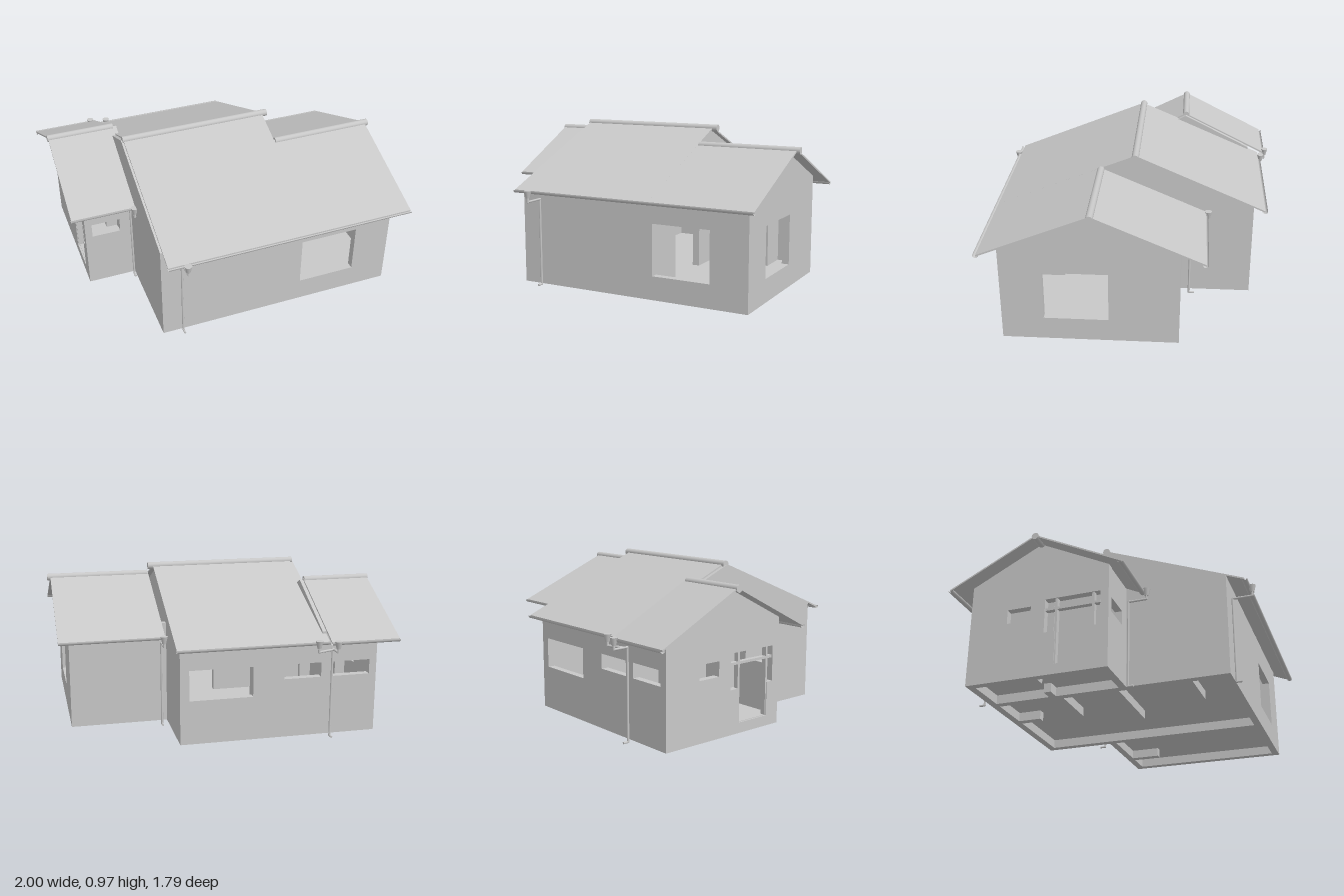
import * as THREE from 'three';

const plaster = new THREE.MeshStandardMaterial({ color: 0xc8c8c8, side: THREE.DoubleSide });
plaster.name = 'lightGrey';

const BASE = 0.012, T = 0.045;

function add(group, name, geometry) {
  const mesh = new THREE.Mesh(geometry, plaster);
  mesh.name = name;
  group.add(mesh);
  return mesh;
}

const toShape = pts => new THREE.Shape(pts.map(p => new THREE.Vector2(...p)));

// Rectangle as a hole outline: [a0, y0, a1, y1]
const rect = ([a0, y0, a1, y1]) => [[a0, y0], [a1, y0], [a1, y1], [a0, y1]];

function extrude(pts, holes, depth) {
  const shape = toShape(pts);
  for (const h of holes) shape.holes.push(new THREE.Path(h.map(p => new THREE.Vector2(...p))));
  return new THREE.ExtrudeGeometry(shape, { depth, bevelEnabled: false });
}

// Wall running along x, thickness from z to z + T
function wallAlongX(group, name, x0, x1, z, top, holes = []) {
  add(group, name, extrude(rect([x0, BASE, x1, top]), holes.map(rect), T)).position.z = z;
}

// Profile drawn in (z, y), thickness from x - depth to x
function profileX(group, name, x, pts, holes, depth) {
  const g = extrude(pts, holes, depth);
  g.rotateY(-Math.PI / 2);
  add(group, name, g).position.x = x;
}

// One sloping roof sheet between two (z, y) lines
function roofSheet(group, name, x0, x1, [z0, y0], [z1, y1]) {
  const t = 0.01;
  profileX(group, name, x1, [[z0, y0], [z1, y1], [z1, y1 + t], [z0, y0 + t]], [], x1 - x0);
}

function ridgeCap(group, name, x0, x1, z, y) {
  const g = new THREE.CylinderGeometry(0.022, 0.022, x1 - x0, 12);
  g.rotateZ(Math.PI / 2);
  add(group, name, g).position.set((x0 + x1) / 2, y, z);
}

// Open half-round gutter
function gutter(group, name, x0, x1, z, y) {
  const g = new THREE.CylinderGeometry(0.017, 0.017, x1 - x0, 12, 1, true, Math.PI, Math.PI);
  g.rotateZ(Math.PI / 2);
  add(group, name, g).position.set((x0 + x1) / 2, y, z);
}

function rod(group, name, a, b, r = 0.007) {
  const from = new THREE.Vector3(...a), to = new THREE.Vector3(...b);
  const dir = to.clone().sub(from);
  const mesh = add(group, name, new THREE.CylinderGeometry(r, r, dir.length() + r, 8));
  mesh.position.copy(from).add(to).multiplyScalar(0.5);
  mesh.quaternion.setFromUnitVectors(new THREE.Vector3(0, 1, 0), dir.normalize());
}

function rainHead(group, x, z, y) {
  add(group, 'rainHead', new THREE.CylinderGeometry(0.023, 0.012, 0.045, 12)).position.set(x, y, z);
}

// Hopper, offset arm, drop pipe and foot
function downpipe(group, name, x, headZ, headY, pipeZ) {
  const g = new THREE.Group();
  g.name = name;
  const out = Math.sign(headZ - pipeZ), armY = headY - 0.045, foot = 0.009;
  rainHead(g, x, headZ, headY);
  rod(g, 'headPipe', [x, headY, headZ], [x, armY, headZ]);
  rod(g, 'armPipe', [x, armY, headZ], [x, armY, pipeZ]);
  rod(g, 'dropPipe', [x, armY, pipeZ], [x, foot, pipeZ]);
  rod(g, 'footPipe', [x, foot, pipeZ], [x, foot, pipeZ + out * 0.03]);
  group.add(g);
}

export function createModel() {
  const house = new THREE.Group();
  house.name = 'house';

  // Ridge and eave lines as (z, y)
  const mainRidge = [-0.015, 0.95], frontEave = [0.845, 0.6], backEave = [-0.82, 0.6];
  const eastRidge = [0.195, 0.864], eastEave = [-0.455, 0.585];
  const westRidge = [-0.31, 0.88], westBack = [-0.855, 0.605], westFront = [0.235, 0.605];

  // Outer walls
  wallAlongX(house, 'frontWall', -0.55, 0.91, 0.74 - T, 0.64, [[0.295, 0.155, 0.675, 0.465]]);
  wallAlongX(house, 'wingFrontWall', -0.9, -0.55, 0.125 - T, 0.655, [[-0.855, 0.375, -0.675, 0.465]]);
  wallAlongX(house, 'stepWall', 0.3, 0.91, -0.31, 0.645);
  wallAlongX(house, 'backWall', -0.9, 0.31, -0.75, 0.632, [
    [-0.13, 0.28, 0.255, 0.465],
    [-0.56, 0.375, -0.32, 0.465],
    [-0.865, 0.375, -0.615, 0.465],
  ]);

  // Gable walls
  profileX(house, 'rightGable', 0.91,
    [[-0.31, BASE], [0.74, BASE], [0.74, 0.642], eastRidge, [-0.31, 0.648]],
    [rect([0.105, 0.155, 0.49, 0.465])], T);
  profileX(house, 'middleGable', 0.31,
    [[-0.75, BASE], [0.74, BASE], [0.74, 0.642], mainRidge, [-0.75, 0.63]],
    [rect([0.12, 0.075, 0.45, 0.48])], T);
  profileX(house, 'innerGable', -0.55,
    [[-0.75, BASE], [0.74, BASE], [0.74, 0.642], mainRidge, [-0.25, 0.85], westRidge, [-0.75, 0.655]],
    [rect([-0.55, 0.075, -0.36, 0.48])], T);
  profileX(house, 'leftGable', -0.855,
    [[-0.75, BASE], [0.125, BASE], [0.125, 0.66], westRidge, [-0.75, 0.655]],
    [
      rect([-0.51, 0.375, -0.32, 0.465]),
      [[-0.2, 0.075], [0.03, 0.075], [0.03, 0.28], [0.075, 0.28], [0.075, 0.495],
        [-0.27, 0.495], [-0.27, 0.28], [-0.2, 0.28]],
    ], T);

  // Entrance frame bars
  for (const z of [-0.2, 0.03])
    add(house, 'doorPost', new THREE.BoxGeometry(0.03, 0.42, 0.015)).position.set(-0.88, 0.285, z);
  add(house, 'doorHead', new THREE.BoxGeometry(0.03, 0.015, 0.34)).position.set(-0.88, 0.43, -0.0975);

  // Inner partitions
  wallAlongX(house, 'hallPartition', -0.57, -0.07, 0.02, 0.62);
  wallAlongX(house, 'bathPartition', -0.57, -0.24, -0.33, 0.62);
  wallAlongX(house, 'frontPartition', -0.55, -0.26, 0.465, 0.62);
  wallAlongX(house, 'wingPartition', -0.9, -0.79, -0.36, 0.62);
  wallAlongX(house, 'wingPartition', -0.67, -0.56, -0.36, 0.62);
  profileX(house, 'roomPartition', 0.7, rect([-0.3, BASE, -0.08, 0.62]), [], T);
  profileX(house, 'backPartition', -0.24, rect([-0.74, BASE, -0.56, 0.62]), [], T);

  // Floor slab, raised above the wall feet
  const floor = extrude([
    [-0.89, 0.74], [0.3, 0.74], [0.3, 0.3], [0.9, 0.3],
    [0.9, -0.73], [-0.56, -0.73], [-0.56, -0.115], [-0.89, -0.115],
  ], [], 0.01);
  floor.rotateX(-Math.PI / 2);
  add(house, 'floor', floor).position.y = 0.068;

  // Roof sheets
  roofSheet(house, 'mainRoofFront', -0.582, 0.34, mainRidge, frontEave);
  roofSheet(house, 'mainRoofBack', -0.572, 0.34, backEave, mainRidge);
  roofSheet(house, 'rightRoofFront', 0.34, 0.98, eastRidge, frontEave);
  roofSheet(house, 'rightRoofBack', 0.34, 0.98, eastEave, eastRidge);
  roofSheet(house, 'leftRoofFront', -0.995, -0.575, westRidge, westFront);
  roofSheet(house, 'leftRoofBack', -0.995, -0.572, westBack, westRidge);

  // Ridge caps
  ridgeCap(house, 'mainRidgeCap', -0.588, 0.372, -0.015, 0.954);
  ridgeCap(house, 'rightRidgeCap', 0.345, 1.0, 0.195, 0.866);
  ridgeCap(house, 'leftRidgeCap', -1.0, -0.575, -0.31, 0.88);

  // Gutters
  gutter(house, 'frontGutter', -0.582, 0.98, 0.845, 0.609);
  gutter(house, 'backGutter', -0.572, 0.34, -0.818, 0.609);
  gutter(house, 'rightBackGutter', 0.34, 0.98, -0.45, 0.594);
  gutter(house, 'leftFrontGutter', -0.995, -0.582, 0.228, 0.613);
  gutter(house, 'leftBackGutter', -0.995, -0.572, -0.852, 0.613);

  // Rainwater pipes
  downpipe(house, 'frontDownpipe', -0.47, 0.868, 0.59, 0.748);
  downpipe(house, 'wingDownpipe', -0.605, 0.255, 0.605, 0.14);
  downpipe(house, 'stepDownpipe', 0.35, -0.468, 0.58, -0.362);
  downpipe(house, 'backDownpipe', -0.605, -0.872, 0.6, -0.78);
  rainHead(house, -0.5, -0.838, 0.6);
  rod(house, 'linkPipe', [-0.5, 0.59, -0.838], [-0.5, 0.555, -0.838]);
  rod(house, 'linkPipe', [-0.5, 0.555, -0.838], [-0.605, 0.555, -0.8]);

  return house;
}
